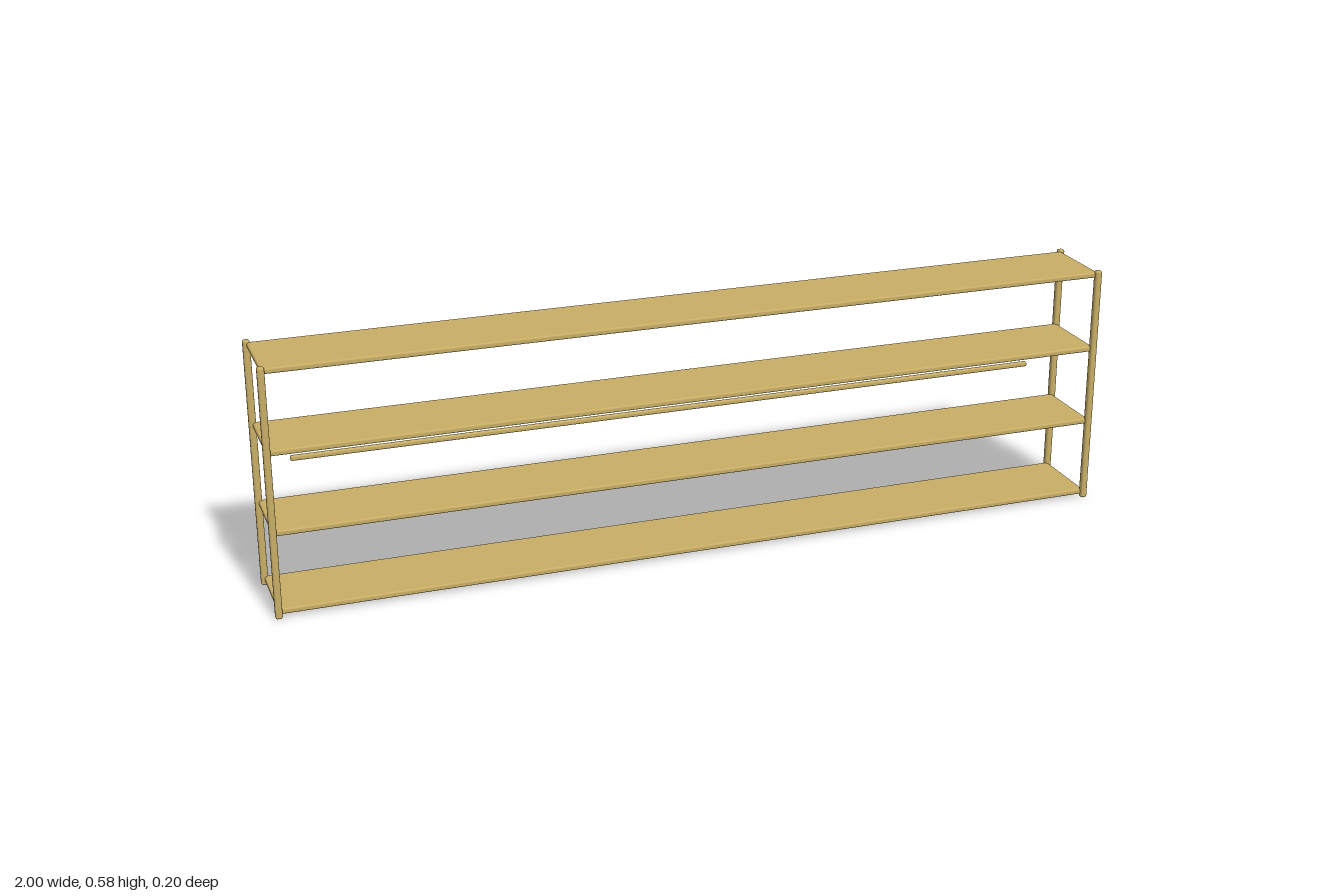
import * as THREE from 'three';
import { RoundedBoxGeometry } from 'three/addons/geometries/RoundedBoxGeometry.js';

export function createModel() {
  const group = new THREE.Group();
  group.name = 'shelfUnit';
  const wood = new THREE.MeshStandardMaterial({ color: 0xc8ad65 });
  wood.name = 'paleWood';

  // softly rounded timber piece
  function timber(name, w, h, d, x, y, z, radius) {
    const mesh = new THREE.Mesh(new RoundedBoxGeometry(w, h, d, 2, radius), wood);
    mesh.name = name;
    mesh.position.set(x, y, z);
    group.add(mesh);
  }

  const height = 0.584, post = 0.016;
  const px = 1 - post / 2, pz = 0.1 - post / 2;

  // four corner posts
  for (const sx of [-1, 1]) {
    for (const sz of [-1, 1]) {
      const name = (sz > 0 ? 'front' : 'back') + (sx > 0 ? 'Left' : 'Right') + 'Post';
      timber(name, post, height, post, sx * px, height / 2, sz * pz, 0.005);
    }
  }

  // four evenly spaced shelves, running to the post centres
  for (let i = 0; i < 4; i++) {
    timber('shelf' + (i + 1), 2 * px, 0.013, 2 * pz, 0, 0.0145 + i * 0.186, 0, 0.004);
  }

  // thin rail along the back
  timber('backRail', 1.83, 0.012, 0.012, 0, 0.296, -0.093, 0.004);

  return group;
}
